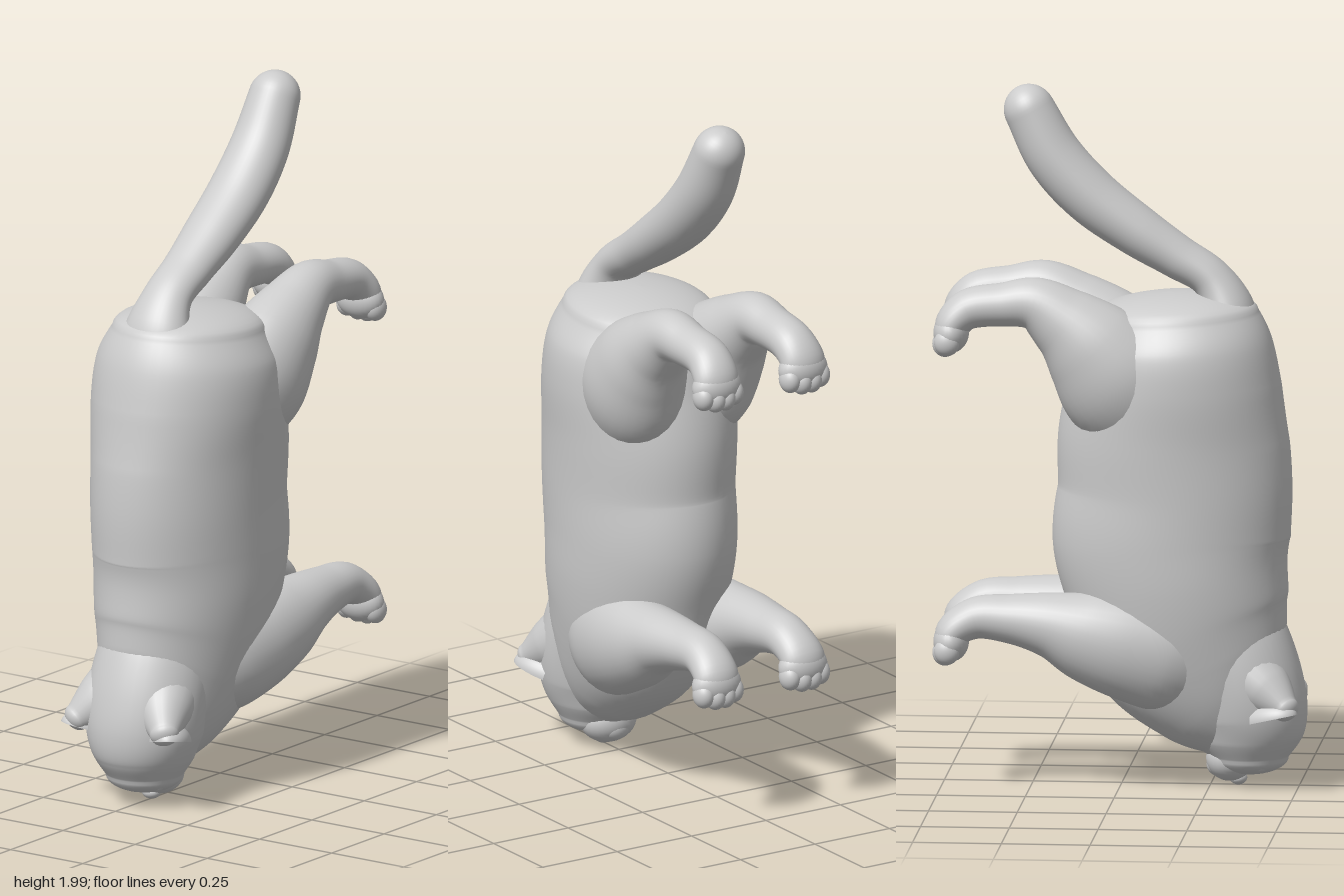
import * as THREE from 'three';

const material = new THREE.MeshStandardMaterial({ color: 0xcccccc, roughness: 0.8 });
const shellMaterial = new THREE.MeshStandardMaterial({ color: 0xcccccc, roughness: 0.8, side: THREE.DoubleSide });

// Smooth loft through stations [x, y, z, halfWidth, halfDepth] with rounded ends.
function loft(name, stations, capA, capB, steps = 40, sides = 40) {
  const path = new THREE.CatmullRomCurve3(stations.map(s => new THREE.Vector3(s[0], s[1], s[2])));
  const radii = new THREE.CatmullRomCurve3(
    stations.map(s => new THREE.Vector3(s[3], s[4], 0)), false, 'catmullrom', 0.5);
  const rings = [];
  const addRing = (t, shift, scale) => {
    const tangent = path.getTangent(t);
    const center = path.getPoint(t).addScaledVector(tangent, shift);
    const r = radii.getPoint(t).multiplyScalar(scale);
    const side = new THREE.Vector3(1, 0, 0).addScaledVector(tangent, -tangent.x).normalize();
    const depth = new THREE.Vector3().crossVectors(side, tangent);
    rings.push({ center, side, depth, r });
  };
  const capSteps = 10;
  for (let i = capSteps; i > 0; i--) {
    const a = i / capSteps * Math.PI / 2;
    addRing(0, -capA * Math.sin(a), Math.cos(a));
  }
  for (let i = 0; i <= steps; i++) addRing(i / steps, 0, 1);
  for (let i = 1; i <= capSteps; i++) {
    const a = i / capSteps * Math.PI / 2;
    addRing(1, capB * Math.sin(a), Math.cos(a));
  }

  const positions = [], index = [];
  rings.forEach(({ center, side, depth, r }, i) => {
    for (let j = 0; j < sides; j++) {
      const a = j / sides * Math.PI * 2;
      const p = center.clone()
        .addScaledVector(side, r.x * Math.cos(a))
        .addScaledVector(depth, r.y * Math.sin(a));
      positions.push(p.x, p.y, p.z);
      if (i === rings.length - 1) continue;
      const k = (j + 1) % sides;
      const p0 = i * sides + j, p1 = i * sides + k;
      index.push(p0, p0 + sides, p1, p1, p0 + sides, p1 + sides);
    }
  });
  const geometry = new THREE.BufferGeometry();
  geometry.setAttribute('position', new THREE.Float32BufferAttribute(positions, 3));
  geometry.setIndex(index);
  geometry.computeVertexNormals();
  const mesh = new THREE.Mesh(geometry, material);
  mesh.name = name;
  return mesh;
}

const mirrored = (stations, side) => stations.map(([x, ...rest]) => [side * x, ...rest]);

function ellipsoid(name, x, y, z, rx, ry, rz) {
  const mesh = new THREE.Mesh(new THREE.SphereGeometry(1, 28, 20), material);
  mesh.name = name;
  mesh.position.set(x, y, z);
  mesh.scale.set(rx, ry, rz);
  return mesh;
}

// Leg with a bent paw and four toes; pawY is the height of the paw's centre.
function leg(name, side, stations, pawY) {
  const group = new THREE.Group();
  group.name = name;
  group.add(loft(name + 'Limb', mirrored(stations, side), 0.08, 0.03, 48, 32));
  const x = side * 0.145;
  group.add(ellipsoid('paw', x, pawY, -0.468, 0.076, 0.058, 0.05));
  for (let i = 0; i < 4; i++) {
    const u = (i - 1.5) / 1.5;
    const inner = 1 - Math.abs(u);
    group.add(ellipsoid('toe', x + u * 0.049, pawY - 0.022 - inner * 0.012, -0.476 - inner * 0.012, 0.029, 0.038, 0.036));
  }
  return group;
}

// Ear growing out of the crown, with a cupped rim open toward the face.
function ear(name, side) {
  const group = new THREE.Group();
  group.name = name;
  group.add(loft(name + 'Back', mirrored([
    [0.07, 0.34, 0.35, 0.10, 0.11],
    [0.115, 0.29, 0.425, 0.075, 0.075],
    [0.152, 0.252, 0.475, 0.042, 0.038],
  ], side), 0.03, 0.03, 20, 24));

  const cup = new THREE.Mesh(new THREE.SphereGeometry(1, 20, 14, 0, Math.PI, 0, Math.PI / 2), shellMaterial);
  cup.name = name + 'Cup';
  const tip = new THREE.Vector3(side * 0.52, 0.25, 0.78).normalize();
  const back = new THREE.Vector3(0, 1, 0).addScaledVector(tip, -tip.y).normalize();
  const across = new THREE.Vector3().crossVectors(tip, back);
  cup.quaternion.setFromRotationMatrix(new THREE.Matrix4().makeBasis(across, tip, back));
  cup.position.set(side * 0.122, 0.21, 0.41);
  cup.scale.set(0.062, 0.115, 0.055);
  group.add(cup);
  return group;
}

export function createModel() {
  const model = new THREE.Group();
  model.name = 'cat';

  // Torso from throat to rump
  model.add(loft('body', [
    [0, 0.18, 0.335, 0.12, 0.13],
    [0, 0.26, 0.275, 0.165, 0.20],
    [0, 0.35, 0.225, 0.195, 0.265],
    [0, 0.46, 0.18, 0.22, 0.30],
    [0, 0.58, 0.155, 0.235, 0.315],
    [0, 0.71, 0.14, 0.24, 0.335],
    [0, 0.85, 0.15, 0.243, 0.33],
    [0, 1.00, 0.145, 0.25, 0.325],
    [0, 1.15, 0.15, 0.26, 0.30],
    [0, 1.26, 0.15, 0.25, 0.275],
    [0, 1.345, 0.145, 0.205, 0.24],
  ], 0.05, 0.065, 80, 56));

  // Tail
  model.add(loft('tail', [
    [0, 1.27, 0.30, 0.13, 0.10],
    [0, 1.37, 0.295, 0.10, 0.075],
    [0, 1.45, 0.25, 0.075, 0.058],
    [0, 1.51, 0.155, 0.075, 0.062],
    [0, 1.58, 0.045, 0.085, 0.072],
    [0, 1.68, -0.09, 0.09, 0.08],
    [0, 1.79, -0.19, 0.086, 0.08],
    [0, 1.92, -0.26, 0.074, 0.072],
  ], 0.03, 0.075, 60));

  // Head, pointing down
  const head = new THREE.Group();
  head.name = 'head';
  head.add(loft('skull', [
    [0, 0.09, 0.36, 0.11, 0.11],
    [0, 0.14, 0.36, 0.14, 0.145],
    [0, 0.21, 0.36, 0.165, 0.163],
    [0, 0.30, 0.345, 0.175, 0.165],
    [0, 0.40, 0.305, 0.17, 0.17],
    [0, 0.50, 0.26, 0.15, 0.16],
  ], 0.05, 0.06, 50));
  head.add(ellipsoid('muzzle', 0, 0.085, 0.305, 0.085, 0.066, 0.068));
  head.add(ellipsoid('nose', 0, 0.028, 0.328, 0.028, 0.02, 0.025));
  head.add(ellipsoid('chin', 0, 0.068, 0.268, 0.045, 0.035, 0.03));
  for (const side of [1, -1]) {
    const label = side > 0 ? 'left' : 'right';
    head.add(ear(label + 'Ear', side));
    head.add(ellipsoid(label + 'Eye', side * 0.068, 0.077, 0.395, 0.024, 0.022, 0.022));

    // Legs, rooted inside the torso
    model.add(leg(label + 'HindLeg', side, [
      [0.09, 1.06, 0.09, 0.11, 0.15],
      [0.118, 1.17, 0.005, 0.138, 0.175],
      [0.132, 1.27, -0.075, 0.125, 0.145],
      [0.137, 1.34, -0.15, 0.10, 0.105],
      [0.14, 1.393, -0.235, 0.076, 0.076],
      [0.14, 1.39, -0.32, 0.066, 0.062],
      [0.14, 1.375, -0.42, 0.065, 0.057],
      [0.145, 1.335, -0.465, 0.068, 0.048],
      [0.145, 1.30, -0.47, 0.066, 0.042],
    ], 1.31));
    model.add(leg(label + 'FrontLeg', side, [
      [0.07, 0.35, 0.24, 0.095, 0.13],
      [0.10, 0.39, 0.13, 0.125, 0.16],
      [0.13, 0.42, 0.02, 0.12, 0.15],
      [0.142, 0.45, -0.09, 0.11, 0.128],
      [0.145, 0.48, -0.19, 0.093, 0.093],
      [0.142, 0.495, -0.30, 0.076, 0.07],
      [0.14, 0.495, -0.40, 0.066, 0.059],
      [0.145, 0.455, -0.465, 0.068, 0.048],
      [0.145, 0.42, -0.47, 0.066, 0.042],
    ], 0.43));
  }
  model.add(head);
  return model;
}
